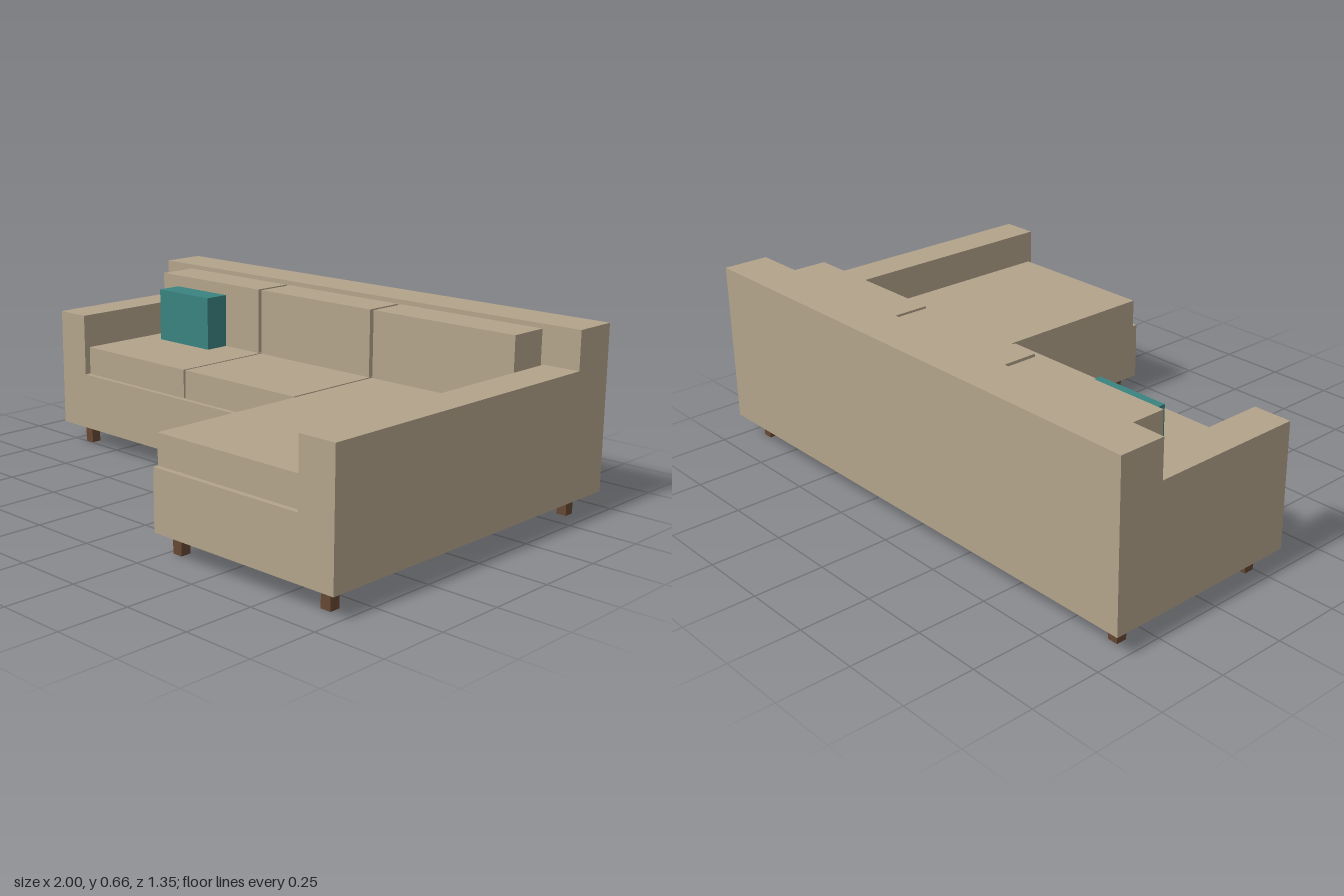
import * as THREE from 'three';

export function createModel() {
  const sofa = new THREE.Group();
  sofa.name = 'cornerSofa';

  const mat = (name, color, extra = {}) => {
    const m = new THREE.MeshStandardMaterial({ color, ...extra });
    m.name = name;
    return m;
  };
  const fabric = mat('beigeFabric', 0xb3a38b, { side: THREE.DoubleSide });
  const teal = mat('tealFabric', 0x3a8380);
  const wood = mat('darkWood', 0x654632);

  // Box given by its extents on each axis; omit lists the faces left open
  // (0 +x, 1 -x, 2 +y, 3 -y, 4 +z, 5 -z).
  const box = (name, material, [x0, x1], [y0, y1], [z0, z1], omit = []) => {
    const g = new THREE.BoxGeometry(x1 - x0, y1 - y0, z1 - z0);
    if (omit.length) {
      const index = Array.from(g.index.array);
      g.setIndex(index.filter((_, i) => !omit.includes(Math.floor(i / 6))));
      g.clearGroups();
    }
    g.translate((x0 + x1) / 2, (y0 + y1) / 2, (z0 + z1) / 2);
    const mesh = new THREE.Mesh(g, material);
    mesh.name = name;
    sofa.add(mesh);
  };

  // Main heights and depths
  const legTop = 0.08, deck = 0.295, seatTop = 0.402, armTop = 0.527, backTop = 0.664;
  const rear = -0.674, backFront = -0.506, seatFront = 0.054, chaiseFront = 0.674;
  const chaiseX = 0.247, armX = 0.862;

  // Hollow base, open underneath
  box('mainBase', fabric, [-1, 1], [legTop, deck], [rear, seatFront], [3]);
  box('chaiseBase', fabric, [chaiseX, 1], [legTop, deck], [seatFront, chaiseFront], [3, 5]);

  // Backrest and arms standing on the base
  box('backrest', fabric, [-1, 1], [deck, backTop], [rear, backFront]);
  box('rightArm', fabric, [-1, -armX], [deck, armTop], [backFront, seatFront]);
  box('leftArm', fabric, [armX, 1], [deck, armTop], [backFront, chaiseFront]);

  // Seat cushions, the last one running along the chaise
  [
    [-0.855, -0.314, 0.036],
    [-0.305, 0.238, 0.036],
    [chaiseX, 0.859, 0.655],
  ].forEach(([x0, x1, front], i) =>
    box(`seatCushion${i + 1}`, fabric, [x0, x1], [deck, seatTop], [backFront, front]));

  // Back cushions
  [[-0.855, -0.32], [-0.302, 0.235], [0.251, 0.851]].forEach((xs, i) =>
    box(`backCushion${i + 1}`, fabric, xs, [seatTop, 0.647], [backFront, -0.354]));

  // Throw pillow
  box('throwPillow', teal, [-0.77, -0.497], [seatTop, 0.603], [-0.354, -0.257]);

  // Square legs
  const h = 0.019;
  [[-0.92, -0.593], [0.917, -0.593], [-0.92, -0.022], [0.286, 0.595], [0.917, 0.595]]
    .forEach(([x, z], i) =>
      box(`leg${i + 1}`, wood, [x - h, x + h], [0, legTop], [z - h, z + h]));

  return sofa;
}
